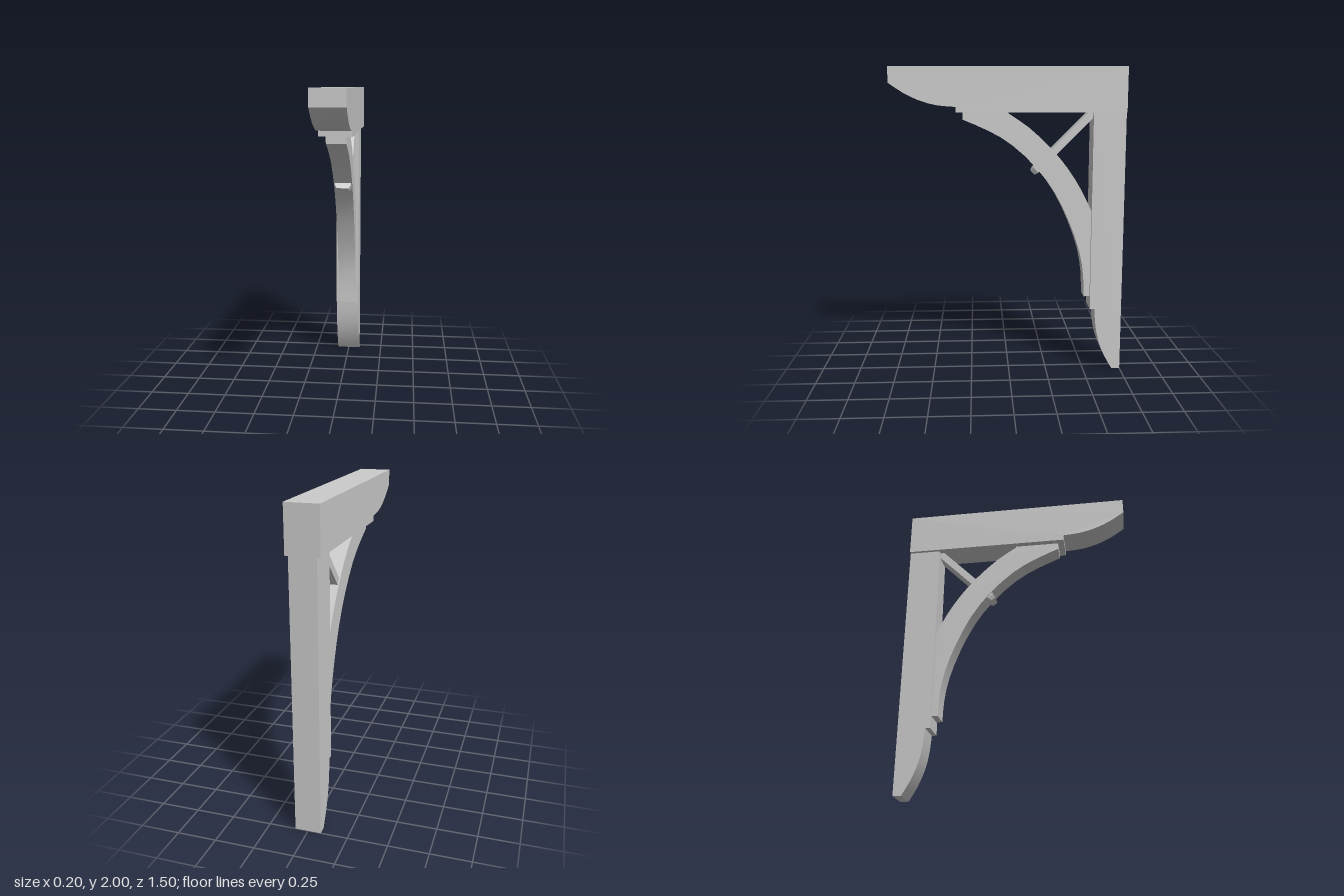
import * as THREE from 'three';
import { toCreasedNormals } from 'three/addons/utils/BufferGeometryUtils.js';

const material = new THREE.MeshStandardMaterial({ color: 0xcccccc });

// Smooth run of [z, y] points through a few control points
function curve(points, segments) {
  return new THREE.SplineCurve(points.map(([z, y]) => new THREE.Vector2(z, y)))
    .getPoints(segments).map((p) => [p.x, p.y]);
}

// Timber cut from a side profile of [z, y] points, centred on x = 0
function timber(name, profile, width) {
  const shape = new THREE.Shape(profile.map(([z, y]) => new THREE.Vector2(z, y)));
  const geometry = new THREE.ExtrudeGeometry(shape, { depth: width, bevelEnabled: false });
  geometry.translate(0, 0, -width / 2);
  geometry.rotateY(-Math.PI / 2);
  const mesh = new THREE.Mesh(toCreasedNormals(geometry, 0.4), material);
  mesh.name = name;
  return mesh;
}

export function createModel() {
  const bracket = new THREE.Group();
  bracket.name = 'timberBracket';

  // Top beam with a curved nose
  bracket.add(timber('topBeam', [
    [-0.75, 2], [-0.75, 1.715], [0.333, 1.715],
    ...curve([[0.333, 1.75], [0.45, 1.76], [0.56, 1.79], [0.66, 1.838], [0.75, 1.898]], 8),
    [0.75, 2],
  ], 0.204));

  // Wall post with a curved foot
  bracket.add(timber('wallPost', [
    [-0.75, 0],
    ...curve([[-0.697, 0], [-0.645, 0.09], [-0.602, 0.2], [-0.58, 0.31], [-0.571, 0.42]], 8),
    [-0.54, 0.42], [-0.54, 1.715], [-0.75, 1.715],
  ], 0.164));

  // Arched brace between post and beam
  bracket.add(timber('archedBrace', [
    [-0.54, 0.503],
    ...curve([[-0.5, 0.503], [-0.494, 0.65], [-0.465, 0.81], [-0.4, 0.995], [-0.305, 1.19],
      [-0.18, 1.36], [-0.02, 1.51], [0.13, 1.6], [0.292, 1.67]], 16),
    [0.292, 1.715], [0, 1.715],
    ...curve([[0, 1.708], [-0.13, 1.62], [-0.27, 1.49], [-0.38, 1.36], [-0.47, 1.22], [-0.54, 1.08]], 10),
  ], 0.124));

  // Diagonal strut passing through the brace, with a chamfered end
  const strut = new THREE.Group();
  strut.name = 'diagonalStrut';
  const length = 0.557, width = 0.11, thickness = 0.046;
  const bar = new THREE.Mesh(new THREE.BoxGeometry(width, length, thickness), material);
  bar.name = 'strutBar';
  bar.position.y = length / 2;
  const tipGeometry = new THREE.CylinderGeometry(Math.SQRT1_2, 0.72 * Math.SQRT1_2, 0.026, 4, 1)
    .rotateY(Math.PI / 4).scale(width, 1, thickness);
  const tip = new THREE.Mesh(toCreasedNormals(tipGeometry, 0.1), material);
  tip.name = 'strutTip';
  tip.position.y = -0.013;
  strut.add(bar, tip);
  strut.position.set(0, 1.346, -0.176);
  strut.rotation.x = -Math.PI / 4;
  bracket.add(strut);

  return bracket;
}
